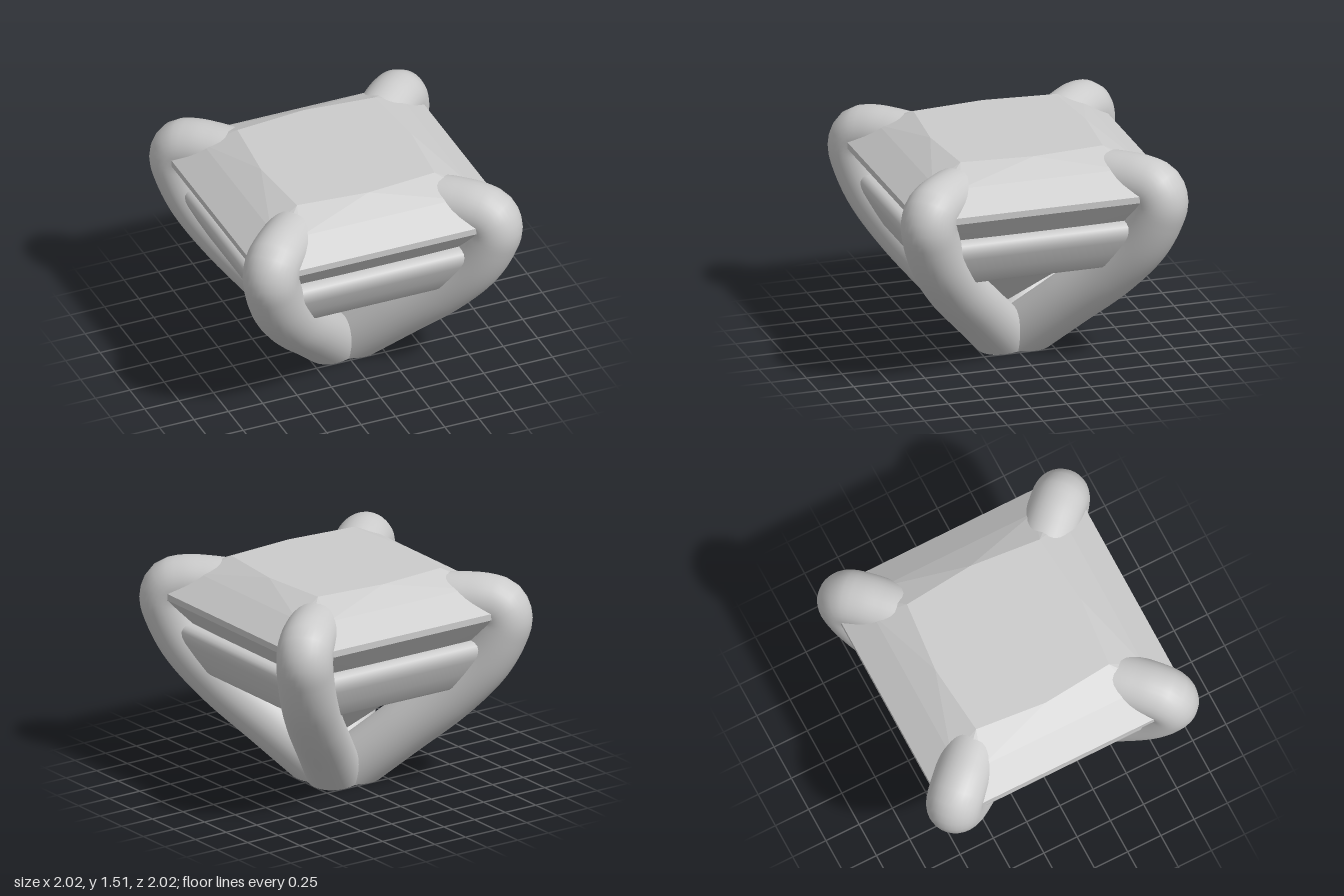
import * as THREE from 'three';
import { toCreasedNormals } from 'three/addons/utils/BufferGeometryUtils.js';
import { ConvexGeometry } from 'three/addons/geometries/ConvexGeometry.js';

const grey = (opts = {}) => new THREE.MeshStandardMaterial({ color: 0xcccccc, ...opts });

function part(name, geometry, material = grey()) {
  const mesh = new THREE.Mesh(geometry, material);
  mesh.name = name;
  return mesh;
}

// Square-cut stone: facet corners of one side, turned four times and hulled
function stoneGeometry() {
  const side = [
    [0, 1.515, 0.547], [0.5, 1.515, 0.5],             // table
    [0.57, 1.415, 0.72], [-0.57, 1.415, 0.72],        // crown break
    [0.91, 1.28, 0.91], [0.91, 1.235, 0.91],          // girdle
    [0, 0.98, 0.69], [0, 0.7, 0.43],                  // pavilion ridge
  ];
  const points = [new THREE.Vector3(0, 0.29, 0)];
  const up = new THREE.Vector3(0, 1, 0);
  for (let k = 0; k < 4; k++)
    for (const p of side) points.push(new THREE.Vector3(...p).applyAxisAngle(up, k * Math.PI / 2));
  return new ConvexGeometry(points);
}

// Rail below the girdle: square outside, round opening inside
function railGeometry() {
  const N = 64;
  // half width, height, round?
  const profile = [
    [0.70, 1.06, true], [0.58, 0.72, true], [0.69, 0.72], [0.705, 0.725], [0.72, 0.74],
    [0.775, 0.84], [0.825, 0.94], [0.838, 0.98], [0.838, 1.015], [0.825, 1.04], [0.80, 1.056],
    [0.77, 1.06], [0.70, 1.06, true],
  ];
  const pos = [], index = [];
  for (const [s, y, round] of profile) {
    for (let i = 0; i < N; i++) {
      const a = i / N * Math.PI * 2, c = Math.cos(a), n = Math.sin(a);
      const r = round ? s : s / Math.max(Math.abs(c), Math.abs(n));
      pos.push(r * c, y, -r * n);
    }
  }
  for (let j = 0; j < profile.length - 1; j++) {
    for (let i = 0; i < N; i++) {
      const a = j * N + i, b = j * N + (i + 1) % N;
      index.push(a, b, b + N, a, b + N, a + N);
    }
  }
  const g = new THREE.BufferGeometry();
  g.setAttribute('position', new THREE.Float32BufferAttribute(pos, 3));
  g.setIndex(index);
  return toCreasedNormals(g, 0.6);
}

const R = 0.19;
const SLOPE = 1.17 / Math.SQRT2;

// Claw: tube rising outwards from the foot and hooking over the stone's corner
function prongGeometry() {
  const path = [
    [-0.25, -0.2925], [-0.1, -0.117], [0.1, 0.117], [0.31, 0.363], [0.55, 0.645], [0.71, 0.89],
    [0.787, 1.09], [0.808, 1.2], [0.785, 1.275], [0.72, 1.302], [0.62, 1.305], [0.5, 1.295],
  ].map(([d, y]) => new THREE.Vector3(d * Math.SQRT2, y, 0));
  const g = new THREE.TubeGeometry(new THREE.CatmullRomCurve3(path), 90, R, 32);
  // slide everything below the ground up along the straight foot, for a level cut
  const p = g.attributes.position;
  for (let i = 0; i < p.count; i++) {
    const y = p.getY(i);
    if (y < 0) p.setXYZ(i, p.getX(i) - y / SLOPE, 0, p.getZ(i));
  }
  return g;
}

export function createModel() {
  const model = new THREE.Group();
  model.name = 'stoneSetting';
  model.add(part('stone', stoneGeometry(), grey({ flatShading: true })));
  model.add(part('rail', railGeometry(), grey({ side: THREE.DoubleSide })));

  // Four prongs on the diagonals, turned very slightly
  const prong = prongGeometry();
  const twist = Math.PI / 4 - 0.0125;
  for (let k = 0; k < 4; k++) {
    const m = part('prong' + (k + 1), prong);
    m.rotation.y = twist + k * Math.PI / 2;
    model.add(m);
  }

  // Level foot: two crossed ellipses closing the prongs' lower ends
  const foot = new THREE.CircleGeometry(1, 48);
  foot.rotateX(Math.PI / 2);
  foot.scale(R * Math.hypot(1, SLOPE) / SLOPE, 1, R);
  for (let k = 0; k < 2; k++) {
    const m = part('footCap' + (k + 1), foot);
    m.rotation.y = twist + k * Math.PI / 2;
    model.add(m);
  }
  return model;
}
